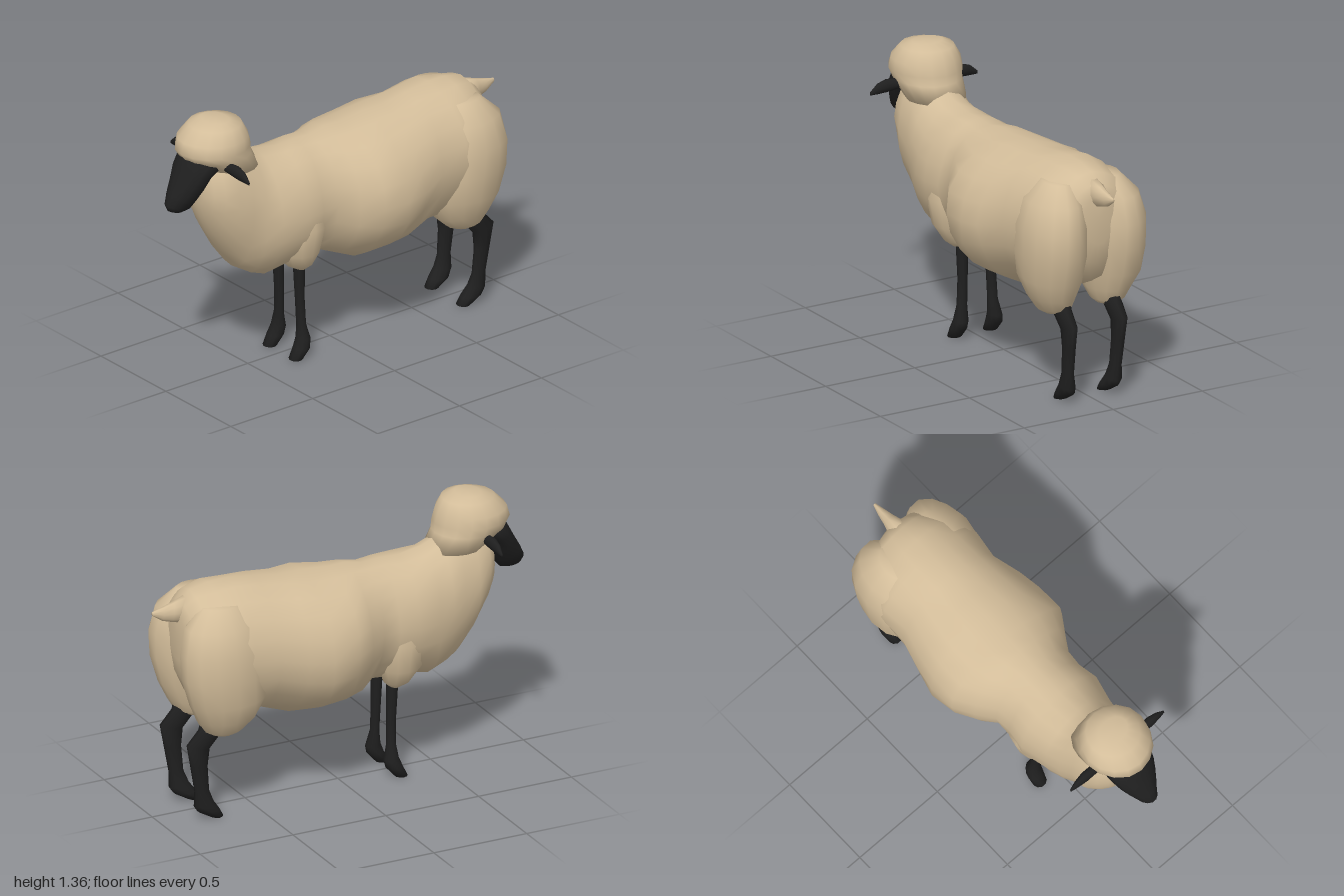
import * as THREE from 'three';

const wool = new THREE.MeshStandardMaterial({ color: 0xd3bd9a });
wool.name = 'cream wool';
const dark = new THREE.MeshStandardMaterial({ color: 0x1f1f1f });
dark.name = 'black skin';

// Smooth closed loft. Each section is [z1, y1, z2, y2, halfWidth, centreX]:
// an oval spanning the two points in the side plane.
function loft(sections, sides, lump = 0, side = 1) {
  const pos = [], index = [];
  const n = sections.length;
  sections.forEach(([z1, y1, z2, y2, w, cx = 0], i) => {
    const cy = (y1 + y2) / 2, cz = (z1 + z2) / 2;
    for (let j = 0; j < sides; j++) {
      const a = (j / sides) * Math.PI * 2;
      const k = 1 + lump * Math.sin(i * 2.3 + j * 1.9) * Math.cos(i * 1.1 - j * 2.7);
      const c = Math.cos(a) * k, s = Math.sin(a) * k;
      pos.push(side * cx + c * w, cy + s * (y1 - y2) / 2, cz + s * (z1 - z2) / 2);
    }
  });
  for (let i = 0; i < n - 1; i++) {
    for (let j = 0; j < sides; j++) {
      const a = i * sides + j, b = i * sides + (j + 1) % sides;
      index.push(a, b, a + sides, b, b + sides, a + sides);
    }
  }
  // End caps
  for (const i of [0, n - 1]) {
    const [z1, y1, z2, y2, , cx = 0] = sections[i];
    const centre = pos.length / 3;
    pos.push(side * cx, (y1 + y2) / 2, (z1 + z2) / 2);
    for (let j = 0; j < sides; j++) {
      const a = i * sides + j, b = i * sides + (j + 1) % sides;
      if (i === 0) index.push(centre, b, a);
      else index.push(centre, a, b);
    }
  }
  const g = new THREE.BufferGeometry();
  g.setAttribute('position', new THREE.Float32BufferAttribute(pos, 3));
  g.setIndex(index);
  g.computeVertexNormals();
  return g;
}

export function createModel() {
  const model = new THREE.Group();
  model.name = 'sheep';
  const add = (name, geometry, material) => {
    const mesh = new THREE.Mesh(geometry, material);
    mesh.name = name;
    model.add(mesh);
    return mesh;
  };

  // Fleece from rump to chest: z, top, bottom, half width
  const bodyProfile = [
    [-0.87, 1.05, 0.80, 0.08], [-0.85, 1.10, 0.70, 0.16], [-0.80, 1.145, 0.60, 0.23],
    [-0.70, 1.165, 0.54, 0.285], [-0.60, 1.17, 0.50, 0.31], [-0.46, 1.155, 0.49, 0.30],
    [-0.32, 1.14, 0.445, 0.34], [-0.20, 1.13, 0.43, 0.365], [-0.06, 1.12, 0.44, 0.355],
    [0.04, 1.115, 0.47, 0.30], [0.13, 1.11, 0.51, 0.235], [0.22, 1.11, 0.51, 0.235],
    [0.32, 1.11, 0.50, 0.245], [0.45, 1.12, 0.475, 0.215], [0.53, 1.16, 0.50, 0.195],
    [0.60, 1.22, 0.55, 0.18], [0.68, 1.22, 0.65, 0.175], [0.75, 1.20, 0.77, 0.15],
    [0.79, 1.15, 0.86, 0.11], [0.81, 1.08, 0.94, 0.06],
  ];
  add('body', loft(bodyProfile.map(([z, t, b, w]) => [z, t, z, b, w]), 20, 0.03), wool);

  // Woolly top of the head
  add('headWool', loft([
    [0.76, 1.36, 0.64, 1.36, 0.08], [0.83, 1.34, 0.57, 1.34, 0.13],
    [0.89, 1.28, 0.54, 1.28, 0.168], [0.905, 1.225, 0.525, 1.225, 0.175],
    [0.88, 1.185, 0.52, 1.18, 0.165], [0.76, 1.10, 0.48, 1.10, 0.15],
  ], 16, 0.02), wool);

  // Tapered face
  add('face', loft([
    [0.86, 1.22, 0.68, 1.16, 0.12], [0.885, 1.19, 0.72, 1.13, 0.13],
    [0.91, 1.145, 0.77, 1.10, 0.12], [0.94, 1.09, 0.80, 1.04, 0.102],
    [0.975, 1.03, 0.835, 0.98, 0.075], [0.998, 0.98, 0.865, 0.94, 0.05],
    [0.985, 0.95, 0.91, 0.93, 0.028],
  ], 14), dark);

  // Tail, listed from the tip
  add('tail', loft([
    [-1.0, 1.07, -1.0, 1.05, 0.007], [-0.94, 1.085, -0.95, 1.015, 0.022],
    [-0.89, 1.10, -0.90, 1.0, 0.033], [-0.80, 1.13, -0.82, 0.98, 0.06],
  ], 10), wool);

  for (const side of [1, -1]) {
    const prefix = side > 0 ? 'left' : 'right';

    // Ear, drawn along z and turned outwards
    const ear = add(prefix + 'Ear', loft([
      [0.08, 1.18, 0.08, 1.14, 0.02], [0.16, 1.185, 0.16, 1.13, 0.024],
      [0.21, 1.19, 0.21, 1.125, 0.024], [0.26, 1.175, 0.26, 1.123, 0.016],
      [0.30, 1.14, 0.30, 1.123, 0.005],
    ], 10), dark);
    ear.rotation.y = side * Math.PI / 2;
    ear.position.z = 0.73;

    // Haunch
    add(prefix + 'Haunch', loft([
      [-0.60, 1.10, -0.80, 1.10, 0.07, 0.13], [-0.52, 1.01, -0.89, 1.01, 0.13, 0.155],
      [-0.48, 0.88, -0.925, 0.88, 0.155, 0.165], [-0.47, 0.75, -0.915, 0.75, 0.155, 0.165],
      [-0.48, 0.63, -0.88, 0.61, 0.14, 0.165], [-0.53, 0.52, -0.83, 0.52, 0.11, 0.155],
      [-0.60, 0.455, -0.80, 0.465, 0.08, 0.15], [-0.65, 0.43, -0.77, 0.445, 0.05, 0.145],
    ], 14, 0.03, side), wool);

    // Shoulder
    add(prefix + 'Shoulder', loft([
      [0.36, 0.88, 0.18, 0.88, 0.08, 0.13], [0.40, 0.72, 0.15, 0.72, 0.12, 0.125],
      [0.38, 0.58, 0.17, 0.58, 0.10, 0.115], [0.33, 0.50, 0.20, 0.50, 0.07, 0.095],
      [0.28, 0.47, 0.23, 0.47, 0.04, 0.085],
    ], 12, 0.03, side), wool);

    // Front leg with hoof
    add(prefix + 'FrontLeg', loft([
      [0.285, 0.56, 0.22, 0.56, 0.03, 0.08], [0.28, 0.46, 0.222, 0.46, 0.03, 0.08],
      [0.27, 0.30, 0.222, 0.30, 0.025, 0.08], [0.265, 0.17, 0.22, 0.17, 0.027, 0.086],
      [0.275, 0.10, 0.20, 0.09, 0.037, 0.095], [0.295, 0.05, 0.21, 0.05, 0.042, 0.10],
      [0.32, 0.0, 0.255, 0.0, 0.036, 0.10],
    ], 10, 0, side), dark);

    // Hind leg bent at the hock, with hoof
    add(prefix + 'HindLeg', loft([
      [-0.66, 0.53, -0.80, 0.56, 0.045, 0.14], [-0.695, 0.45, -0.82, 0.47, 0.04, 0.14],
      [-0.765, 0.37, -0.885, 0.40, 0.033, 0.14], [-0.775, 0.28, -0.865, 0.29, 0.028, 0.138],
      [-0.765, 0.15, -0.84, 0.15, 0.027, 0.134], [-0.74, 0.09, -0.84, 0.07, 0.037, 0.13],
      [-0.705, 0.04, -0.82, 0.04, 0.043, 0.125], [-0.685, 0.0, -0.75, 0.0, 0.036, 0.122],
    ], 10, 0, side), dark);
  }
  return model;
}
